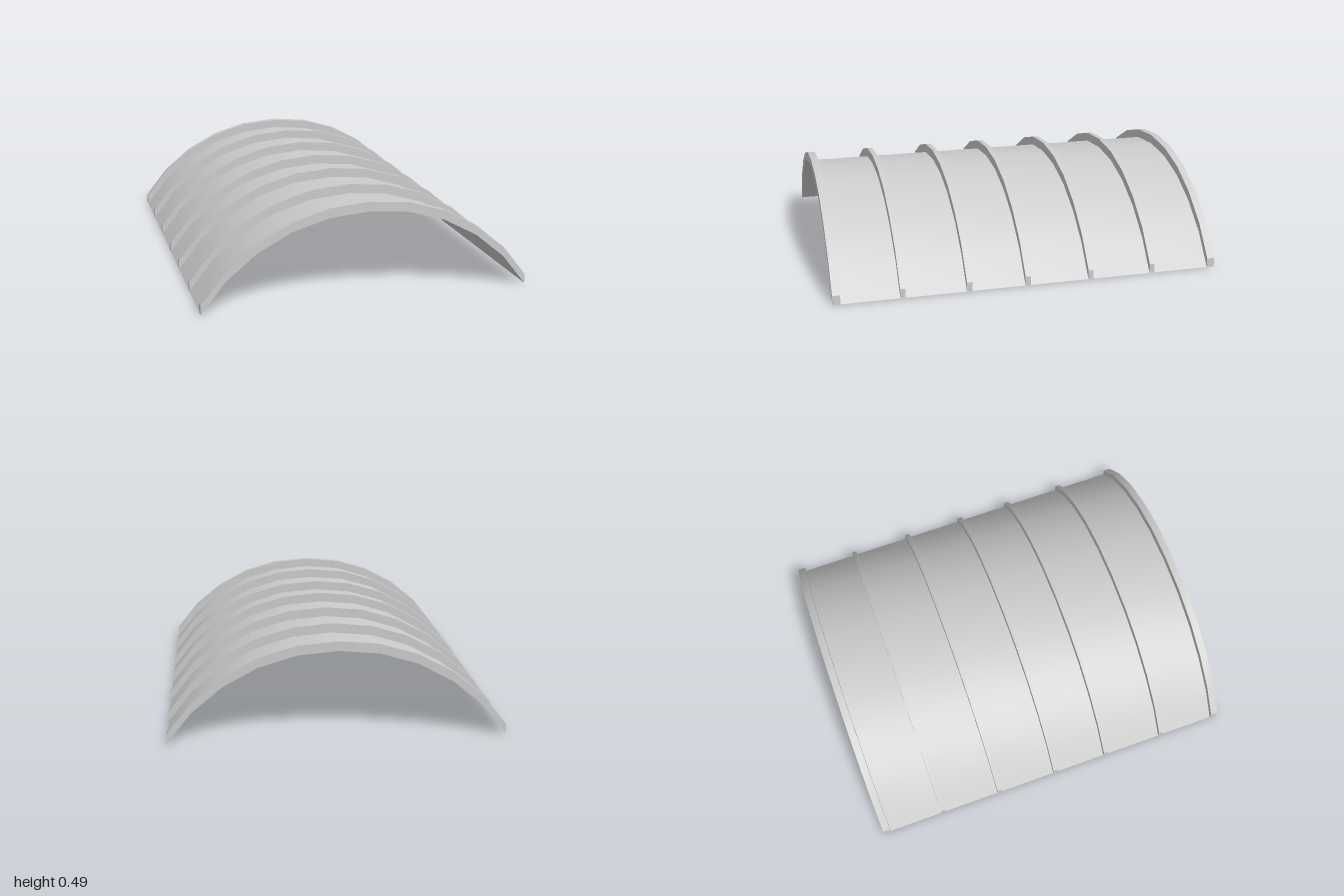
import * as THREE from 'three';
import { toCreasedNormals } from 'three/addons/utils/BufferGeometryUtils.js';

// right half of the arch, from the crown down to the foot
const HALF = [[0, 0.449], [0.2, 0.431], [0.387, 0.375], [0.557, 0.283], [0.708, 0.158], [0.83, 0.004]];
const ARCH = [...HALF.slice(1).reverse().map(([x, y]) => [-x, y]), ...HALF];
const RIB_HEIGHT = 0.048;

// [back, front] of every rib along z
const RIBS = [[-1, -0.961], [-0.666, -0.64], [-0.333, -0.306], [0.001, 0.028],
  [0.304, 0.331], [0.641, 0.667], [0.961, 1]];

// rib: the arch line raised straight up, extruded along z
function ribGeometry(z0, z1) {
  const outline = [
    ...ARCH.map(([x, y]) => new THREE.Vector2(x, y)),
    ...ARCH.map(([x, y]) => new THREE.Vector2(x, y + RIB_HEIGHT)).reverse(),
  ];
  const g = new THREE.ExtrudeGeometry(new THREE.Shape(outline), { depth: z1 - z0, bevelEnabled: false });
  g.translate(0, 0, z0);
  return toCreasedNormals(g, 0.5);
}

// thin curved panel between two ribs
function panelGeometry(z0, z1) {
  const g = new THREE.PlaneGeometry(1, 1, ARCH.length - 1, 1);
  const p = g.attributes.position;
  for (let i = 0; i < p.count; i++) {
    const [x, y] = ARCH[i % ARCH.length];
    p.setXYZ(i, x, y, i < ARCH.length ? z0 : z1);
  }
  g.computeVertexNormals();
  return g;
}

export function createModel() {
  const group = new THREE.Group();
  group.name = 'archedRoof';
  const grey = new THREE.MeshStandardMaterial({ color: 0xcccccc, side: THREE.DoubleSide });
  grey.name = 'light grey';

  const add = (geometry, name) => {
    const mesh = new THREE.Mesh(geometry, grey);
    mesh.name = name;
    group.add(mesh);
  };

  RIBS.forEach(([z0, z1], i) => {
    add(ribGeometry(z0, z1), `rib${i + 1}`);
    if (i < RIBS.length - 1) add(panelGeometry(z1, RIBS[i + 1][0]), `roofPanel${i + 1}`);
  });
  return group;
}
